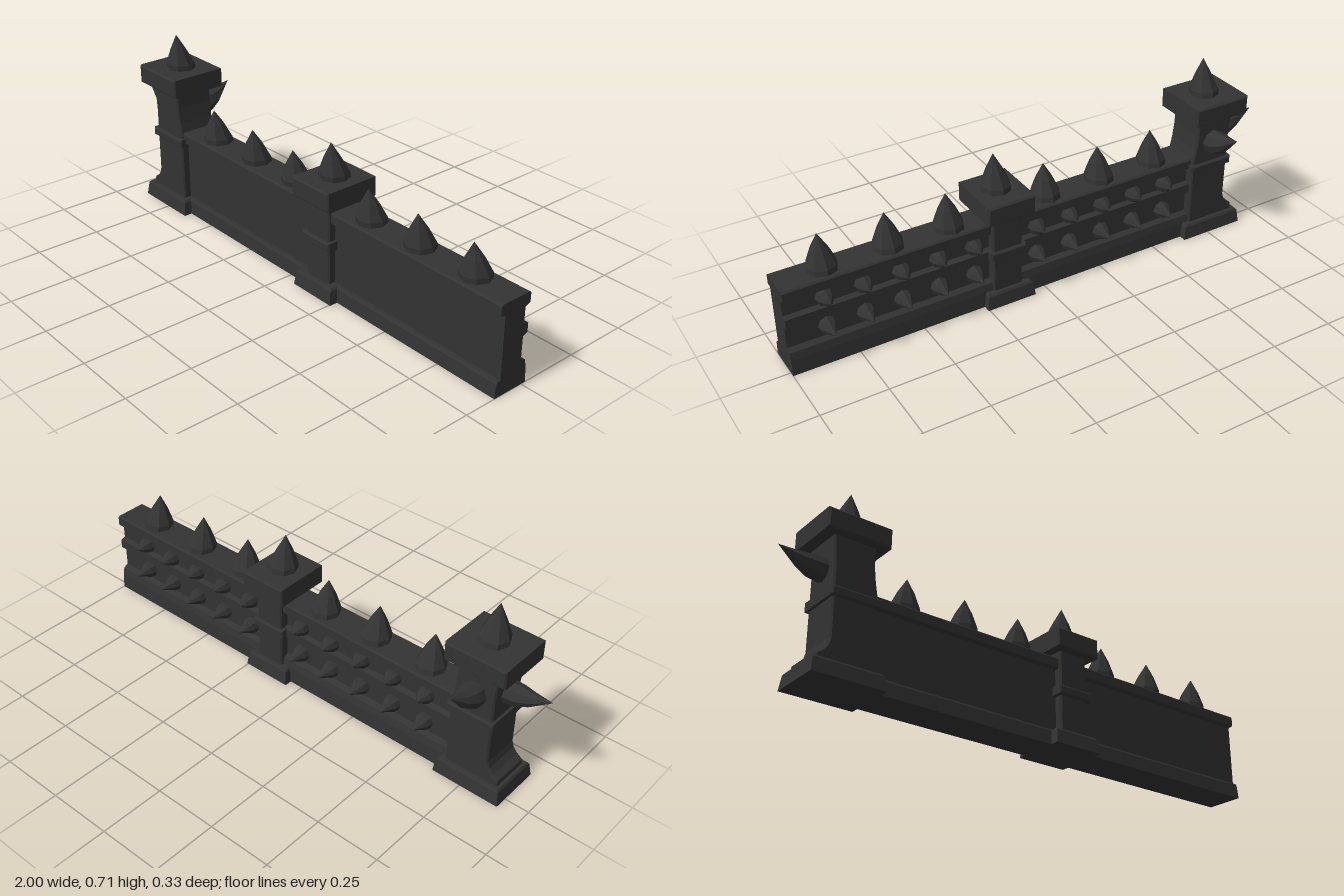
import * as THREE from 'three';

const iron = new THREE.MeshStandardMaterial({ color: 0x333333 });
iron.name = 'darkIron';
const MID = 0.054; // z of the wall's centre line

export function createModel() {
  const model = new THREE.Group();
  model.name = 'spikedWall';

  // Faceted mesh
  function add(name, geometry, x = 0, y = 0, z = 0) {
    const g = geometry.index ? geometry.toNonIndexed() : geometry;
    g.computeVertexNormals();
    const mesh = new THREE.Mesh(g, iron);
    mesh.name = name;
    mesh.position.set(x, y, z);
    model.add(mesh);
    return mesh;
  }

  function shapeOf(points) {
    return new THREE.Shape(points.map(([x, y]) => new THREE.Vector2(x, y)));
  }

  // Outline in x/y, extruded from z0 to z1 with chamfered rims
  function slab(name, points, z0, z1, c = 0.006) {
    const g = new THREE.ExtrudeGeometry(shapeOf(points), {
      depth: z1 - z0 - 2 * c, bevelThickness: c, bevelSize: c, bevelOffset: -c, bevelSegments: 1,
    });
    add(name, g, 0, 0, z0 + c);
  }

  function block(name, x0, x1, y0, y1, z0, z1) {
    slab(name, [[x0, y0], [x1, y0], [x1, y1], [x0, y1]], z0, z1);
  }

  // Plinth narrowing toward the top, with a chamfered upper rim
  function plinth(name, x0, x1) {
    const w = x1 - x0, d = 0.207;
    const g = new THREE.BoxGeometry(w, 0.06, d, 1, 2, 1);
    const p = g.attributes.position;
    for (let i = 0; i < p.count; i++) {
      const y = p.getY(i), inset = y > 0.02 ? 0.013 : y > -0.02 ? 0.007 : 0;
      if (y > -0.02 && y < 0.02) p.setY(i, 0.022);
      p.setX(i, p.getX(i) - Math.sign(p.getX(i)) * inset);
      p.setZ(i, p.getZ(i) - Math.sign(p.getZ(i)) * inset);
    }
    add(name, g, (x0 + x1) / 2, 0.03, MID);
  }

  // Eight-sided spike along y whose tip leans toward z
  function spike(profile, lean, power = 1) {
    const g = new THREE.LatheGeometry(profile.map(([r, y]) => new THREE.Vector2(r, y)), 8);
    const h = profile[profile.length - 1][1], p = g.attributes.position;
    for (let i = 0; i < p.count; i++) p.setZ(i, p.getZ(i) + lean * (p.getY(i) / h) ** power);
    return g;
  }

  function topSpike(name, x, y, h) {
    add(name, spike([[0.057, -0.005], [0.056, 0.02], [0.032, 0.075], [0, h]], 0.018), x, y, MID);
  }

  // Wall: one cross-section (-z, y) run along x
  const section = [
    [-0.125, 0], [0.02, 0], [0.016, 0.06], [0.01, 0.09], [-0.01, 0.1],
    [-0.01, 0.185], [0.01, 0.192], [0.01, 0.228], [-0.01, 0.235],
    [-0.01, 0.293], [0.012, 0.302], [0.012, 0.336], [0.006, 0.342],
    [-0.116, 0.342], [-0.122, 0.336], [-0.122, 0.302], [-0.102, 0.298],
    [-0.102, 0.06], [-0.115, 0.06], [-0.12, 0.052],
  ];
  const wall = new THREE.ExtrudeGeometry(shapeOf(section), { depth: 1.75, bevelEnabled: false });
  wall.rotateY(Math.PI / 2);
  add('wall', wall, -0.75, 0, 0);

  for (const x of [-0.525, -0.285, -0.05, 0.35, 0.585, 0.83]) topSpike('wallSpike', x, 0.342, 0.13);

  // Two rows of studs on the back
  for (const start of [-0.55, 0.28]) {
    for (let i = 0; i < 5; i++) {
      for (const [y, length] of [[0.263, 0.063], [0.143, 0.08]]) {
        const stud = spike([[0.034, 0], [0.03, 0.025], [0.018, 0.045], [0, length]], 0);
        stud.rotateX(-Math.PI / 2);
        add('backStud', stud, start + i * 0.1425, y, 0.013);
      }
    }
  }

  // End tower
  plinth('towerBase', -0.905, -0.635);
  slab('towerShaft', [
    [-0.882, 0.05], [-0.668, 0.05], [-0.668, 0.33], [-0.678, 0.38], [-0.685, 0.44], [-0.685, 0.52],
    [-0.845, 0.52], [-0.835, 0.4], [-0.835, 0.14], [-0.842, 0.115], [-0.858, 0.095], [-0.88, 0.08],
  ], -0.025, 0.132);
  block('towerBand', -0.845, -0.658, 0.285, 0.319, -0.036, 0.145);
  block('towerCap', -0.886, -0.647, 0.504, 0.578, -0.06, 0.167);
  topSpike('towerSpike', -0.76, 0.578, 0.137);

  // Upturned horns on the tower's back and outer side
  const backHorn = spike([[0.048, 0], [0.046, 0.04], [0.033, 0.08], [0, 0.145]], 0.064, 2);
  backHorn.rotateX(-Math.PI / 2);
  add('backHorn', backHorn, -0.757, 0.403, -0.02);
  const sideHorn = spike([[0.043, 0], [0.04, 0.045], [0.027, 0.09], [0, 0.165]], 0.04, 2);
  sideHorn.rotateX(-Math.PI / 2).rotateY(Math.PI / 2);
  add('sideHorn', sideHorn, -0.835, 0.407, MID);

  // Middle pillar
  plinth('pillarBase', 0.055, 0.255);
  block('pillarShaft', 0.097, 0.217, 0.05, 0.38, -0.025, 0.132);
  block('pillarBand', 0.083, 0.229, 0.195, 0.23, -0.036, 0.145);
  block('pillarCap', 0.06, 0.25, 0.366, 0.44, -0.06, 0.167);
  topSpike('pillarSpike', 0.157, 0.44, 0.135);

  return model;
}
